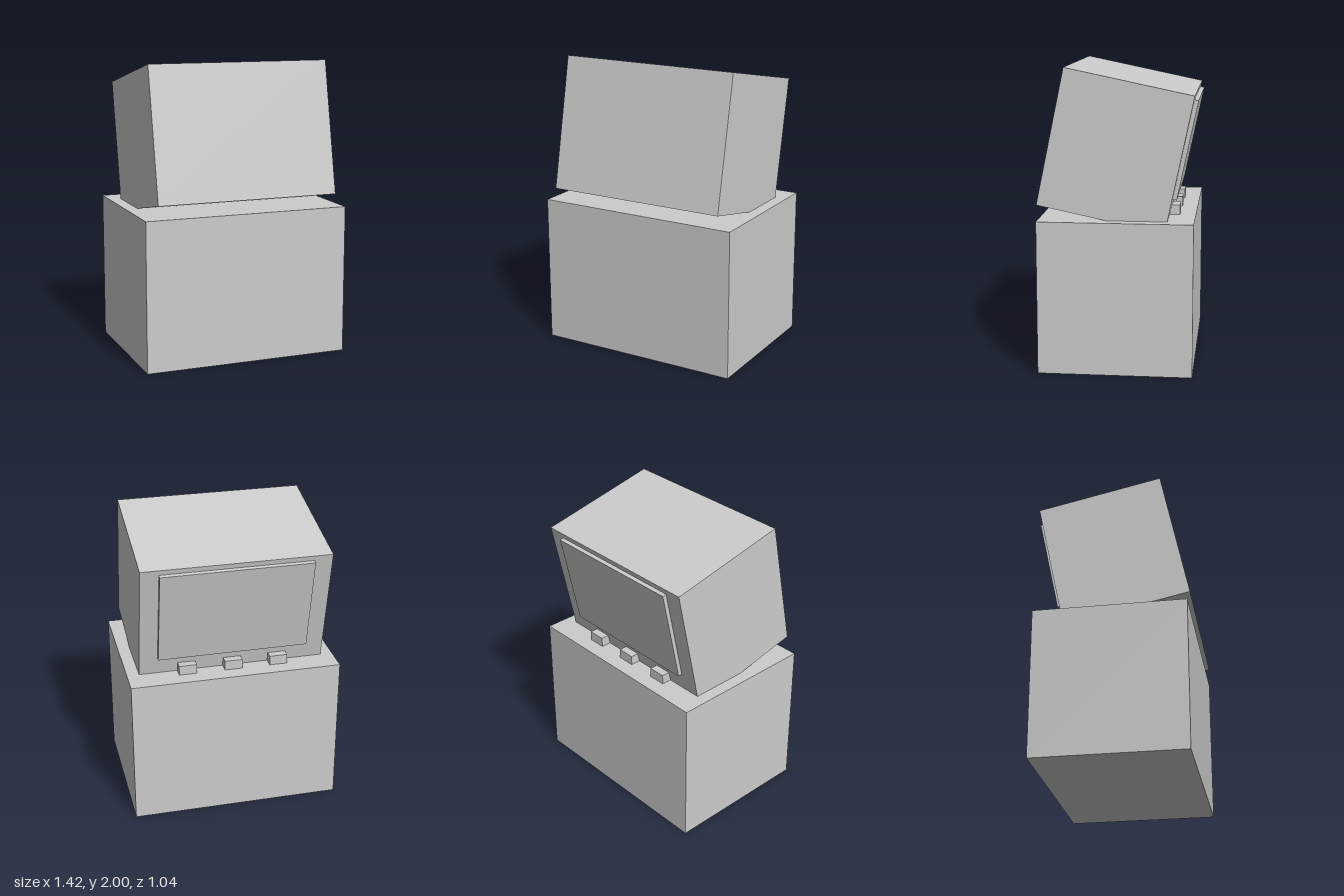
import * as THREE from 'three';

export function createModel() {
  const model = new THREE.Group();
  model.name = 'monitorOnPedestal';
  const grey = new THREE.MeshStandardMaterial({ color: 0xcccccc });
  grey.name = 'light grey';

  // Adds a box given its extents along each axis
  function box(parent, name, [x0, x1], [y0, y1], [z0, z1]) {
    const mesh = new THREE.Mesh(new THREE.BoxGeometry(x1 - x0, y1 - y0, z1 - z0), grey);
    mesh.name = name;
    mesh.position.set((x0 + x1) / 2, (y0 + y1) / 2, (z0 + z1) / 2);
    parent.add(mesh);
    return mesh;
  }

  // Pedestal cabinet
  box(model, 'pedestal', [-0.71, 0.71], [0, 1.015], [-0.505, 0.51]);

  // Tilted monitor, its lower back edge sunk into the pedestal
  const monitor = new THREE.Group();
  monitor.name = 'monitor';
  monitor.position.set(0, 1.4675, 0.01);
  monitor.rotation.x = -0.206;
  model.add(monitor);
  box(monitor, 'monitorCase', [-0.628, 0.628], [-0.4545, 0.4545], [-0.4265, 0.4265]);

  // Raised screen panel
  box(monitor, 'screen', [-0.506, 0.506], [-0.245, 0.42], [-0.454, -0.42]);

  // Row of buttons below the screen
  for (const x of [-0.31, 0, 0.31]) {
    box(model, 'button', [x - 0.06, x + 0.06], [1.0, 1.08], [-0.4, -0.325]);
  }

  return model;
}
